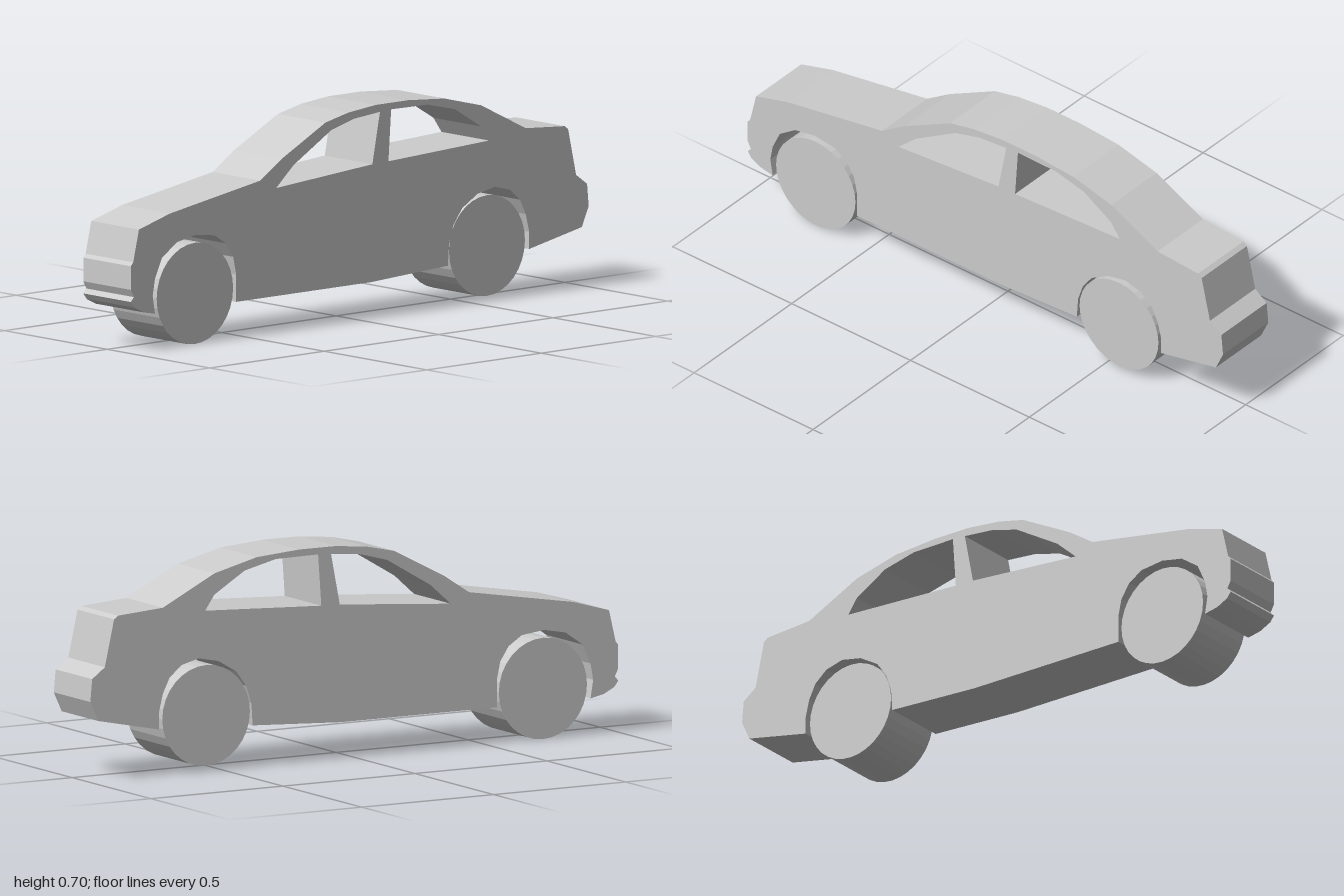
import * as THREE from 'three';

const material = new THREE.MeshStandardMaterial({ color: 0xcccccc, flatShading: true });
const toPoints = (list) => list.map(([z, y]) => new THREE.Vector2(z, y));

// Side outline as [z, y], clockwise by section
const roofLine = [
  [0.965, 0.405], [0.83, 0.443], [0.435, 0.508], [0.34, 0.57], [0.15, 0.668],
  [0.05, 0.69], [-0.07, 0.702], [-0.21, 0.702], [-0.37, 0.69], [-0.53, 0.65],
  [-0.725, 0.553], [-0.895, 0.541], [-0.91, 0.53],
];
const tail = [[-0.945, 0.375], [-0.993, 0.34], [-1, 0.265], [-0.97, 0.2], [-0.74, 0.153]];
const rearArch = [
  [-0.74, 0.21], [-0.725, 0.27], [-0.7, 0.32], [-0.655, 0.358], [-0.59, 0.375],
  [-0.515, 0.36], [-0.447, 0.32], [-0.41, 0.27], [-0.39, 0.21], [-0.385, 0.137],
];
const sill = [[-0.05, 0.12], [0.54, 0.12]];
const frontArch = [
  [0.54, 0.21], [0.553, 0.27], [0.585, 0.318], [0.635, 0.35], [0.72, 0.36],
  [0.8, 0.345], [0.865, 0.3], [0.895, 0.235], [0.905, 0.18], [0.895, 0.12],
];
const nose = [
  [0.945, 0.13], [0.985, 0.15], [1, 0.17], [0.987, 0.185], [1, 0.21],
  [1, 0.288], [0.99, 0.3],
];
const windows = [
  [[0.365, 0.476], [0.29, 0.543], [0.125, 0.64], [0.025, 0.667], [-0.088, 0.677], [-0.055, 0.508]],
  [[-0.137, 0.68], [-0.297, 0.678], [-0.415, 0.65], [-0.53, 0.58], [-0.565, 0.53], [-0.125, 0.51]],
];

function createBody(width) {
  const shape = new THREE.Shape(
    toPoints([...roofLine, ...tail, ...rearArch, ...sill, ...frontArch, ...nose]));
  shape.holes = windows.map((w) => new THREE.Path(toPoints(w)));
  const geometry = new THREE.ExtrudeGeometry(shape, { depth: width, bevelEnabled: false });
  // Turn the outline so its first axis runs along z
  geometry.translate(0, 0, -width / 2).rotateY(-Math.PI / 2);
  const body = new THREE.Mesh(geometry, material);
  body.name = 'body';
  return body;
}

function createWheel(name, z, y, radius) {
  const geometry = new THREE.CylinderGeometry(radius, radius, 0.224, 32).rotateZ(Math.PI / 2);
  const wheel = new THREE.Mesh(geometry, material);
  wheel.name = name;
  wheel.position.set(0, y, z);
  return wheel;
}

export function createModel() {
  const car = new THREE.Group();
  car.name = 'car';
  car.add(
    createBody(0.232),
    // Full-width wheel rollers
    createWheel('frontWheels', 0.717, 0.167, 0.167),
    createWheel('rearWheels', -0.559, 0.184, 0.166),
  );
  return car;
}
